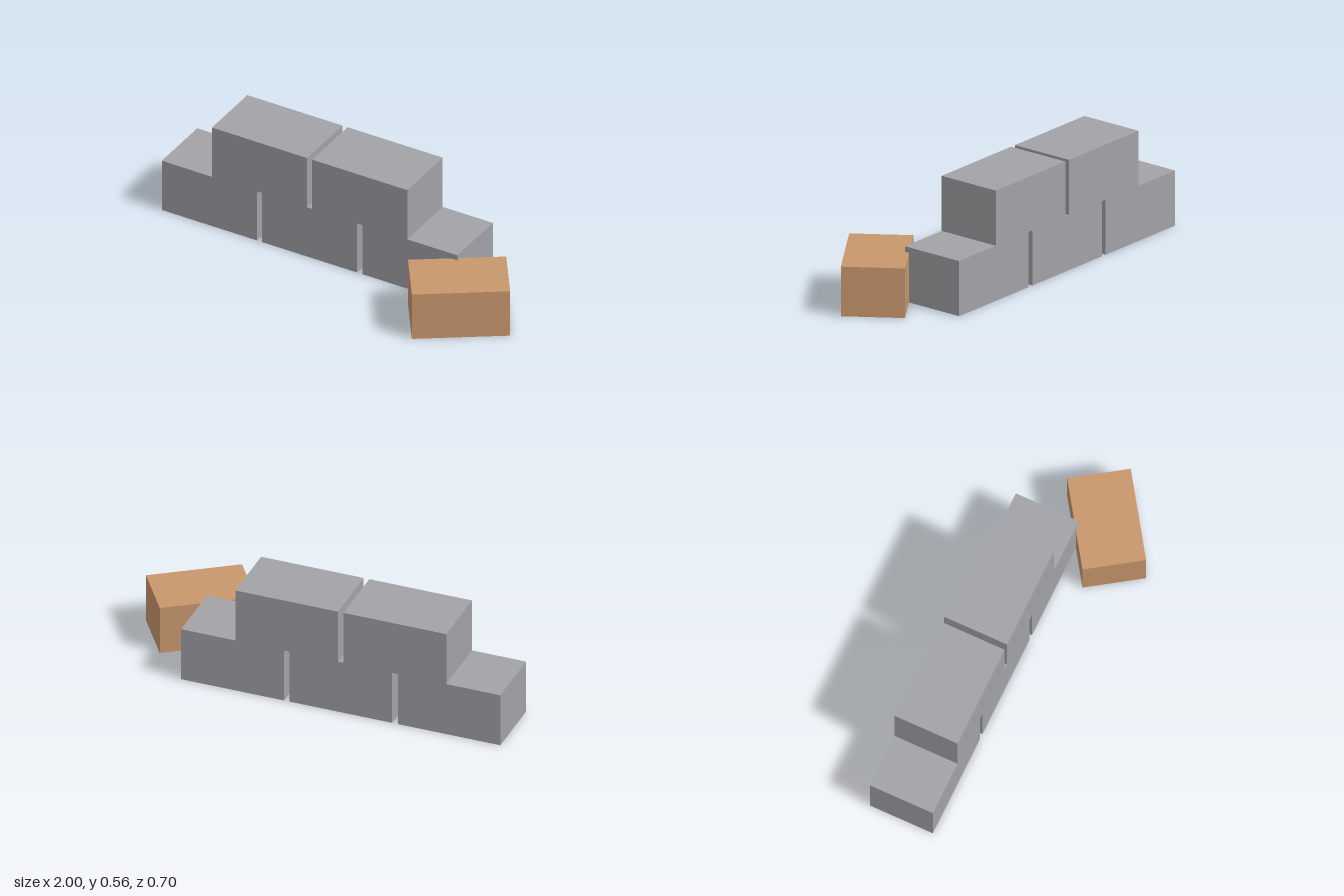
import * as THREE from 'three';

export function createModel() {
  const model = new THREE.Group();
  const stone = new THREE.MeshStandardMaterial({ color: 0xa2a2a7 });
  stone.name = 'grey stone';
  const clay = new THREE.MeshStandardMaterial({ color: 0xc8976d });
  clay.name = 'tan clay';

  // Wall of grey blocks: three below, two above bridging the joints
  const width = 0.528, height = 0.28, depth = 0.333, pitch = 0.557;
  const blockGeometry = new THREE.BoxGeometry(width, height, depth);
  const wall = new THREE.Group();
  wall.name = 'blockWall';
  [3, 2].forEach((count, row) => {
    for (let i = 0; i < count; i++) {
      const block = new THREE.Mesh(blockGeometry, stone);
      block.name = row === 0 ? 'lowerBlock' : 'upperBlock';
      block.position.set(-1 + width / 2 + (i + row / 2) * pitch, height * (row + 0.5), -0.186);
      wall.add(block);
    }
  });
  model.add(wall);

  // Loose tan block turned at an angle beside the wall
  const loose = new THREE.Mesh(new THREE.BoxGeometry(0.471, 0.252, 0.308), clay);
  loose.name = 'looseBlock';
  loose.position.set(0.717, 0.126, 0.092);
  loose.rotation.y = 0.595;
  model.add(loose);

  return model;
}
